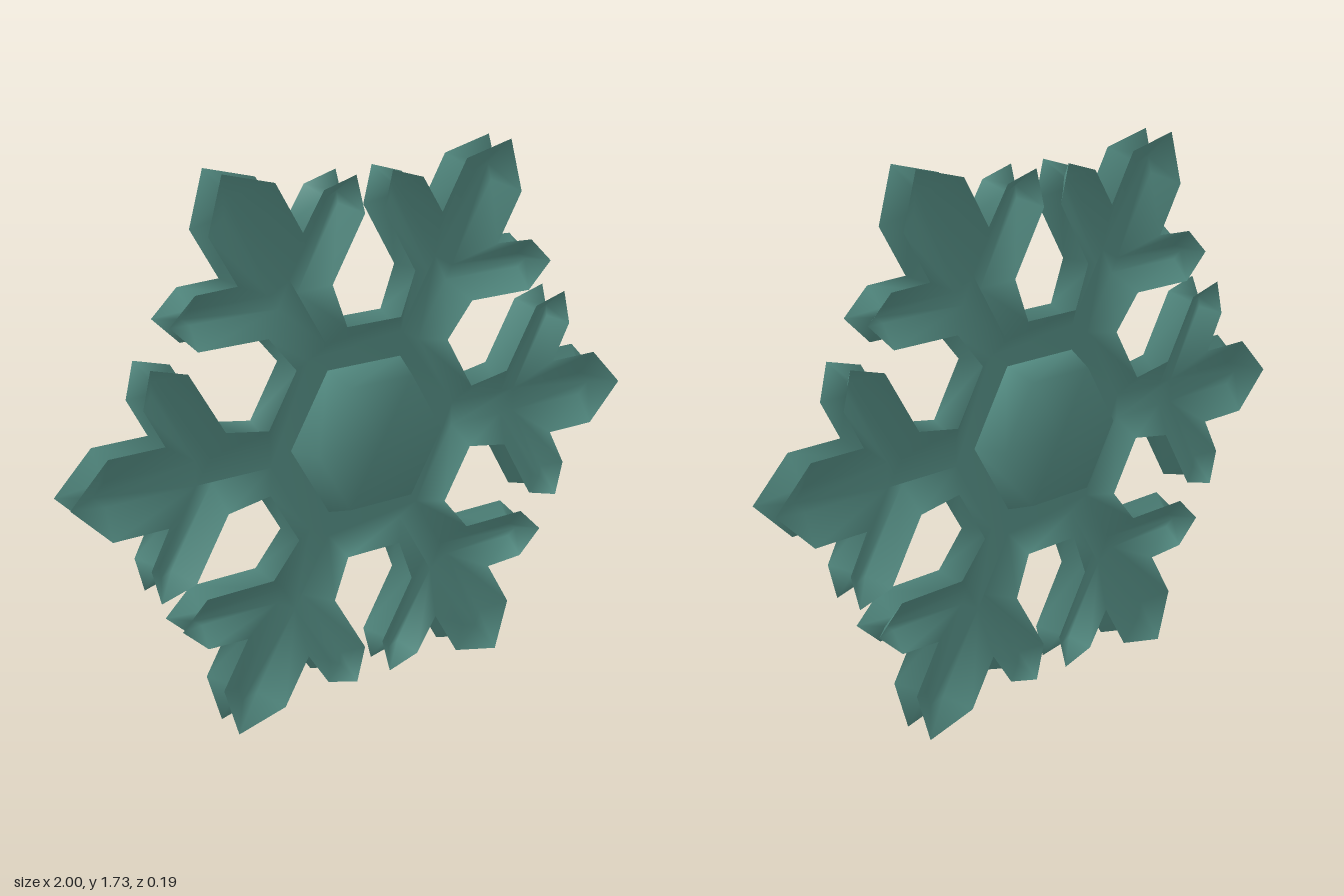
import * as THREE from 'three';
import { mergeVertices } from 'three/addons/utils/BufferGeometryUtils.js';

const CENTRE_Y = 0.866;
const RIM_Z = 0.055;
const FLOOR_Z = 0.001;

// Half an arm from tip to hub: [distance along arm, offset from its axis]
const RIM = [[1, 0], [0.88, 0.124], [0.705, 0.124], [0.767, 0.243], [0.74, 0.354],
  [0.625, 0.322], [0.512, 0.126], [0.37, 0.102]];
const FLOOR = [[0.91, 0], [0.872, 0.038], [0.586, 0.038], [0.716, 0.263], [0.712, 0.3],
  [0.678, 0.285], [0.536, 0.038], [0.335, 0.038]];

// Mirrors the half arm and repeats it six times, counter-clockwise
function outline(half) {
  const arm = [...half.slice(1).reverse().map(([u, v]) => [u, -v]), ...half];
  const points = [];
  for (let i = 0; i < 6; i++) {
    const c = Math.cos(i * Math.PI / 3), s = Math.sin(i * Math.PI / 3);
    for (const [u, v] of arm) points.push(new THREE.Vector2(u * c - v * s, u * s + v * c));
  }
  return points;
}

// Sloping walls from the wide rim down to a narrow floor in the middle plane
function troughGeometry() {
  const rim = outline(RIM), floor = outline(FLOOR);
  const n = rim.length;
  const positions = [], index = [];
  rim.forEach((p) => positions.push(p.x, p.y, RIM_Z));
  floor.forEach((p) => positions.push(p.x, p.y, FLOOR_Z));
  for (let i = 0; i < n; i++) {
    const j = (i + 1) % n;
    index.push(i, j, n + j, i, n + j, n + i);
  }
  for (const [a, b, c] of THREE.ShapeUtils.triangulateShape(floor, [])) {
    index.push(n + a, n + b, n + c);
  }
  const geometry = new THREE.BufferGeometry();
  geometry.setAttribute('position', new THREE.Float32BufferAttribute(positions, 3));
  geometry.setIndex(index);
  geometry.computeVertexNormals();
  return geometry;
}

// Tapered hexagonal boss with soft shading
function hubGeometry() {
  let geometry = new THREE.CylinderGeometry(0.225, 0.265, 0.095, 6);
  geometry.rotateY(Math.PI / 2).rotateX(Math.PI / 2).translate(0, 0, 0.0475);
  geometry.deleteAttribute('normal');
  geometry.deleteAttribute('uv');
  geometry = mergeVertices(geometry, 1e-4);
  geometry.computeVertexNormals();
  return geometry;
}

export function createModel() {
  const teal = new THREE.MeshStandardMaterial({ color: 0x5a968c, side: THREE.DoubleSide });
  teal.name = 'frosty teal';
  const model = new THREE.Group();
  model.name = 'snowflake';
  const trough = troughGeometry(), hub = hubGeometry();

  // The same relief on the front and the back
  ['front', 'back'].forEach((side, i) => {
    const half = new THREE.Group();
    half.name = side + 'Half';
    const arms = new THREE.Mesh(trough, teal);
    arms.name = side + 'Arms';
    const boss = new THREE.Mesh(hub, teal);
    boss.name = side + 'Hub';
    half.add(arms, boss);
    half.rotation.y = i * Math.PI;
    half.position.y = CENTRE_Y;
    model.add(half);
  });
  return model;
}
